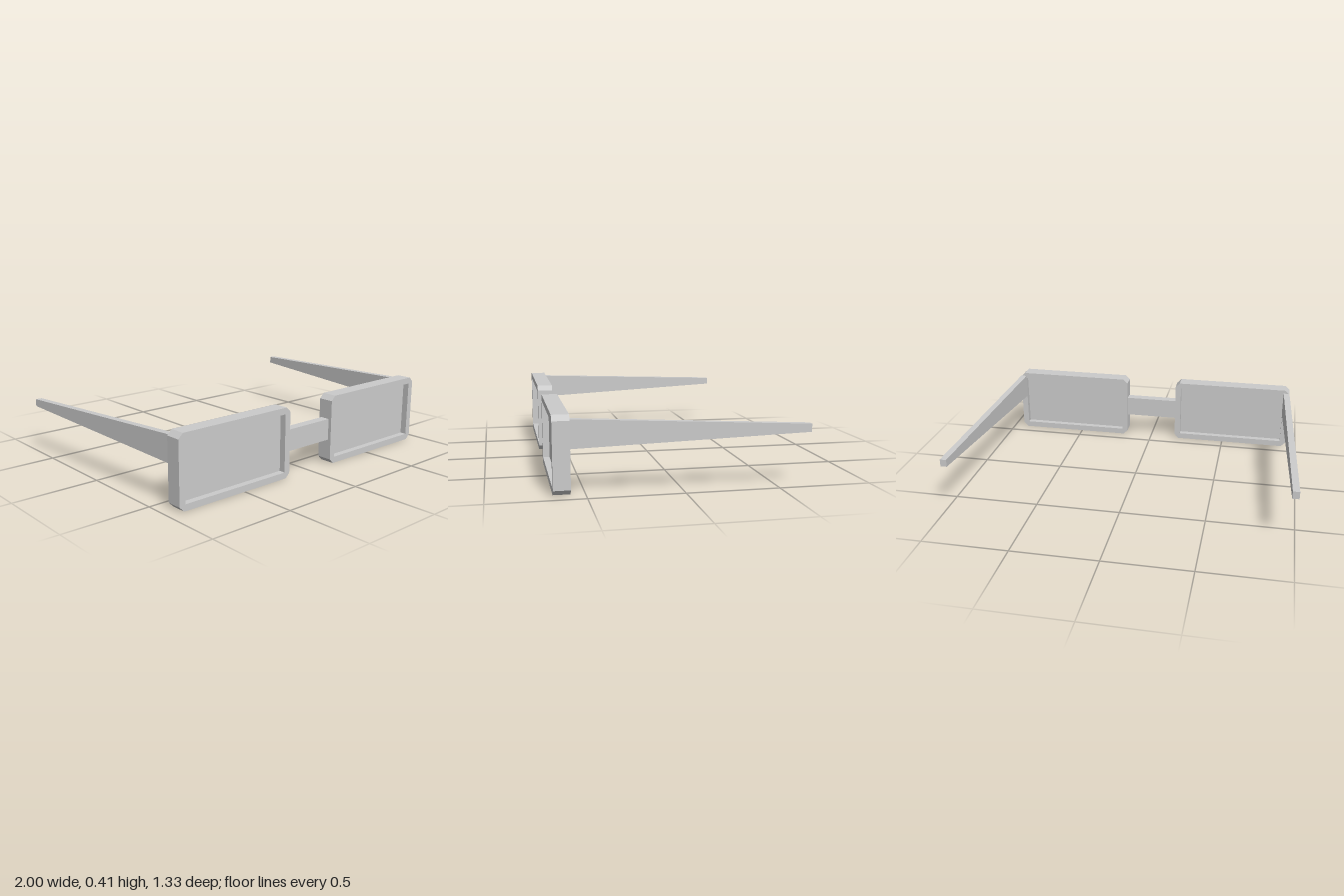
import * as THREE from 'three';

const mat = new THREE.MeshStandardMaterial({ color: 0xcccccc, flatShading: true });

function part(name, geometry, parent) {
  const mesh = new THREE.Mesh(geometry, mat);
  mesh.name = name;
  parent.add(mesh);
  return mesh;
}

// Box given by its minimum and maximum corners
function box(x0, x1, y0, y1, z0, z1) {
  return new THREE.BoxGeometry(x1 - x0, y1 - y0, z1 - z0)
    .translate((x0 + x1) / 2, (y0 + y1) / 2, (z0 + z1) / 2);
}

// Rim: chamfered rectangle with a rectangular opening
function rimGeometry(x0, x1, y0, y1, c) {
  const points = [
    [x0 + c, y0], [x1 - c, y0], [x1, y0 + c], [x1, y1 - c],
    [x1 - c, y1], [x0 + c, y1], [x0, y1 - c], [x0, y0 + c],
  ].map(([x, y]) => new THREE.Vector2(x, y));
  const shape = new THREE.Shape(points);
  const b = 0.037;
  shape.holes.push(new THREE.Path([
    [x0 + b, y0 + b], [x0 + b, y1 - b], [x1 - b, y1 - b], [x1 - b, y0 + b],
  ].map(([x, y]) => new THREE.Vector2(x, y))));
  return new THREE.ExtrudeGeometry(shape, { depth: 0.09, bevelEnabled: false })
    .translate(0, 0, 0.575);
}

// Temple: a box tapering and splaying outwards towards the back
function templeGeometry(side) {
  const geometry = new THREE.BoxGeometry(1, 1, 1);
  const p = geometry.attributes.position;
  for (let i = 0; i < p.count; i++) {
    const front = p.getZ(i) > 0;
    const [cx, cy, w, h, z] = front
      ? [0.912, 0.312, 0.038, 0.15, 0.576]
      : [0.981, 0.311, 0.038, 0.043, -0.665];
    p.setXYZ(i, side * cx + p.getX(i) * w, cy + p.getY(i) * h, z);
  }
  geometry.computeVertexNormals();
  return geometry;
}

export function createModel() {
  const model = new THREE.Group();
  model.name = 'glasses';

  for (const [label, side] of [['left', 1], ['right', -1]]) {
    const half = new THREE.Group();
    half.name = label + 'Side';
    const [x0, x1] = side > 0 ? [0.168, 0.932] : [-0.932, -0.168];
    part(label + 'Rim', rimGeometry(x0, x1, 0, 0.408, 0.028), half);
    // Thin lens set back inside the rim
    part(label + 'Lens', box(x0 + 0.03, x1 - 0.03, 0.03, 0.378, 0.61, 0.627), half);
    part(label + 'Temple', templeGeometry(side), half);
    model.add(half);
  }

  // Bridge between the rims
  part('bridge', box(-0.17, 0.17, 0.145, 0.27, 0.59, 0.645), model);

  return model;
}
